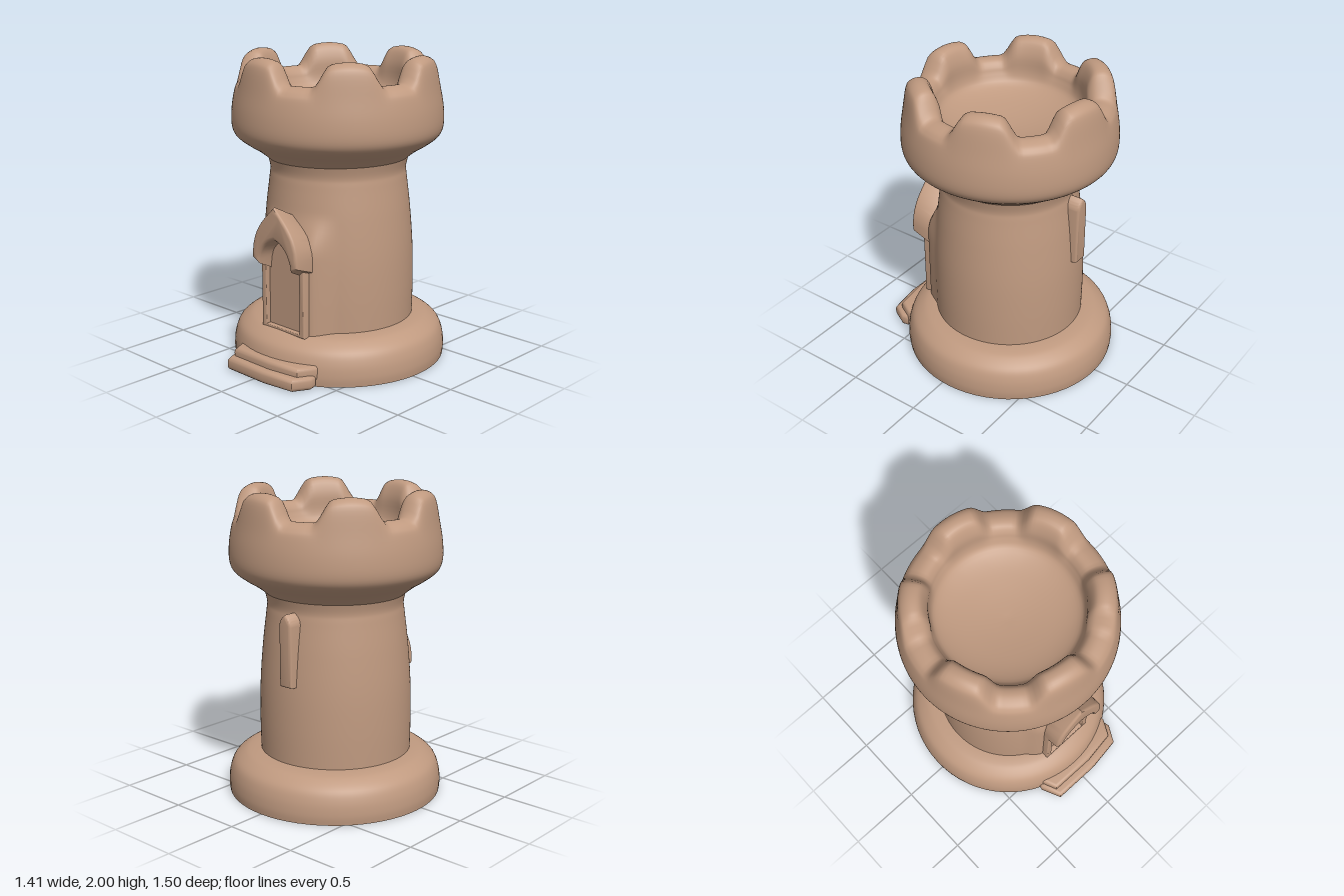
import * as THREE from 'three';
import { mergeVertices, toCreasedNormals } from 'three/addons/utils/BufferGeometryUtils.js';

const material = new THREE.MeshStandardMaterial({ color: 0xc09a80 });
const V = (x, y) => new THREE.Vector2(x, y);
const { smoothstep, lerp, clamp } = THREE.MathUtils;
const AXIS_Z = -0.04;

function addMesh(group, name, geometry, x = 0, y = 0, z = 0) {
  const mesh = new THREE.Mesh(geometry, material);
  mesh.name = name;
  mesh.position.set(x, y, z);
  group.add(mesh);
  return mesh;
}

// Joins duplicate corners so the surface shades smoothly all the way round
function smooth(geometry) {
  geometry.deleteAttribute('uv');
  geometry.deleteAttribute('normal');
  const merged = mergeVertices(geometry, 1e-4);
  merged.computeVertexNormals();
  return merged;
}

function turned(points, samples, segments = 64) {
  const profile = new THREE.SplineCurve(points.map(p => V(...p))).getPoints(samples);
  profile.forEach(p => { p.x = Math.max(0, p.x); });
  return smooth(new THREE.LatheGeometry(profile, segments));
}

// Pointed arch outline, standing from y0, springing at ys, with its tip at ya
function archOutline(target, w, y0, ys, ya) {
  const k = ys + (ya - ys) * 0.62;
  target.moveTo(-w, y0);
  target.lineTo(w, y0);
  target.lineTo(w, ys);
  target.quadraticCurveTo(w * 0.95, k, 0, ya);
  target.quadraticCurveTo(-w * 0.95, k, -w, ys);
  target.closePath();
  return target;
}

function extrude(shape, depth, bevel, angle = 0.7) {
  const geometry = new THREE.ExtrudeGeometry(shape, {
    depth, curveSegments: 10, bevelEnabled: bevel > 0, bevelThickness: bevel,
    bevelSize: bevel, bevelOffset: -bevel, bevelSegments: 3,
  });
  return toCreasedNormals(geometry, angle);
}

// Tapering shaft whose front swells slightly to meet the doorway
function shaftGeometry() {
  const geometry = turned([[0.495, 0.26], [0.498, 0.5], [0.492, 0.75], [0.472, 1.0],
    [0.448, 1.2], [0.442, 1.27], [0.46, 1.35]], 48, 128);
  const pos = geometry.attributes.position;
  for (let i = 0; i < pos.count; i++) {
    const z = pos.getZ(i);
    if (z < 0) continue;
    const swell = (1 - smoothstep(Math.abs(pos.getX(i) - 0.04), 0.17, 0.3)) * (1 - smoothstep(pos.getY(i), 0.78, 1.05));
    pos.setZ(i, Math.max(z, lerp(z, 0.47 - AXIS_Z, swell)));
  }
  geometry.computeVertexNormals();
  return geometry;
}

// Flared crown: one ring profile blended with a raised one to form six merlons
function crownGeometry() {
  const low = [[0.45, 1.33], [0.52, 1.385], [0.60, 1.435], [0.66, 1.485], [0.683, 1.55], [0.68, 1.66],
    [0.66, 1.77], [0.64, 1.81], [0.61, 1.835], [0.56, 1.85], [0.515, 1.84], [0.485, 1.805],
    [0.468, 1.765], [0.43, 1.71], [0.32, 1.665], [0.15, 1.635], [0, 1.625]];
  const high = low.map(p => [...p]);
  const raised = [[0.66, 1.79], [0.637, 1.93], [0.61, 1.98], [0.56, 2.0], [0.505, 1.98], [0.47, 1.89], [0.463, 1.775]];
  raised.forEach((p, i) => { high[i + 6] = p; });
  const samples = 64, segments = 144;
  const curve = list => new THREE.SplineCurve(list.map(p => V(...p))).getPoints(samples);
  const lowPts = curve(low), highPts = curve(high);
  const geometry = new THREE.LatheGeometry(lowPts, segments);
  const pos = geometry.attributes.position;
  const pitch = Math.PI / 3, first = -80 * Math.PI / 180;
  for (let s = 0; s <= segments; s++) {
    const phi = s / segments * Math.PI * 2;
    const turn = (Math.PI / 2 - phi - first) / pitch;
    const away = Math.abs(turn - Math.round(turn)) * pitch;
    const m = 1 - smoothstep(away, 0.19, 0.38);
    for (let j = 0; j <= samples; j++) {
      const r = Math.max(0, lerp(lowPts[j].x, highPts[j].x, m));
      const y = Math.min(2, lerp(lowPts[j].y, highPts[j].y, m));
      // Merlon tops are gently domed
      const dome = Math.max(0, y - 1.8) * 1.8 * away * away * m;
      pos.setXYZ(s * (samples + 1) + j, r * Math.sin(phi), y - dome, r * Math.cos(phi));
    }
  }
  return smooth(geometry);
}

// Worn slab with splayed ends between two heights, reaching from back to front
function stepGeometry(bottom, top, back, front) {
  const shape = new THREE.Shape([
    V(-0.33, -back), V(-0.34, -(front - 0.13)), V(-0.28, -front),
    V(0.05, -front - 0.002), V(0.28, -front + 0.03), V(0.34, -(front - 0.14)), V(0.33, -back),
  ]);
  const geometry = extrude(shape, top - bottom - 0.05, 0.025, 0.9);
  geometry.rotateX(-Math.PI / 2);
  geometry.translate(0, bottom + 0.025, 0);
  return geometry;
}

export function createModel() {
  const tower = new THREE.Group();
  tower.name = 'castleTower';

  // Rounded plinth with an almost flat underside
  addMesh(tower, 'base', turned([[0.70, 0], [0.705, 0.06], [0.695, 0.14], [0.665, 0.21],
    [0.60, 0.26], [0.54, 0.278], [0.46, 0.285]], 30), 0, 0, AXIS_Z - 0.01);
  addMesh(tower, 'underside', turned([[0, 0.02], [0.35, 0.018], [0.6, 0.008], [0.70, 0]], 12), 0, 0, AXIS_Z - 0.01);

  addMesh(tower, 'shaft', shaftGeometry(), 0, 0, AXIS_Z);
  addMesh(tower, 'crown', crownGeometry(), -0.005, 0, AXIS_Z);

  // Doorway: frame, recessed panel and projecting pointed hood
  const door = new THREE.Group();
  door.name = 'doorway';
  tower.add(door);
  const frame = archOutline(new THREE.Shape(), 0.19, 0.265, 0.72, 0.98);
  frame.holes.push(archOutline(new THREE.Path(), 0.148, 0.288, 0.72, 0.89));
  addMesh(door, 'doorFrame', extrude(frame, 0.1, 0.008), 0.04, 0, 0.405);
  addMesh(door, 'doorPanel', extrude(archOutline(new THREE.Shape(), 0.165, 0.275, 0.72, 0.92), 0.08, 0), 0.04, 0, 0.4);

  const hood = new THREE.Shape();
  hood.moveTo(0.145, 0.71);
  hood.lineTo(0.2, 0.74);
  hood.bezierCurveTo(0.21, 0.93, 0.1, 1.0, 0, 1.1);
  hood.bezierCurveTo(-0.1, 1.0, -0.21, 0.93, -0.2, 0.74);
  hood.lineTo(-0.145, 0.71);
  hood.bezierCurveTo(-0.13, 0.82, -0.07, 0.87, 0, 0.89);
  hood.bezierCurveTo(0.07, 0.87, 0.13, 0.82, 0.145, 0.71);
  const hoodGeometry = extrude(hood, 0.155, 0.02);
  const hp = hoodGeometry.attributes.position;
  // The hood rises towards its front edge, and its feet sweep back into the jambs
  for (let i = 0; i < hp.count; i++) {
    const y = hp.getY(i), reach = hp.getZ(i) - 0.155;
    const rise = clamp((y - 0.72) / 0.38, 0, 1);
    const foot = 1 - smoothstep(y, 0.7, 0.8);
    hp.setY(i, y + reach * (0.5 * rise + 0.5 * foot));
  }
  addMesh(door, 'doorHood', toCreasedNormals(hoodGeometry, 0.7), 0.05, 0, 0.42);

  // Narrow raised window on the back
  const slot = archOutline(new THREE.Shape(), 0.05, 0.8, 1.19, 1.265);
  addMesh(tower, 'backWindow', extrude(slot, 0.13, 0.018, 1), -0.05, 0, -0.552);

  // Worn steps merging into the plinth below the door
  const steps = new THREE.Group();
  steps.name = 'steps';
  tower.add(steps);
  addMesh(steps, 'lowerStep', stepGeometry(0, 0.085, 0.56, 0.748), 0.05);
  addMesh(steps, 'upperStep', stepGeometry(0.04, 0.138, 0.5, 0.695), 0.05).scale.x = 0.97;

  return tower;
}
